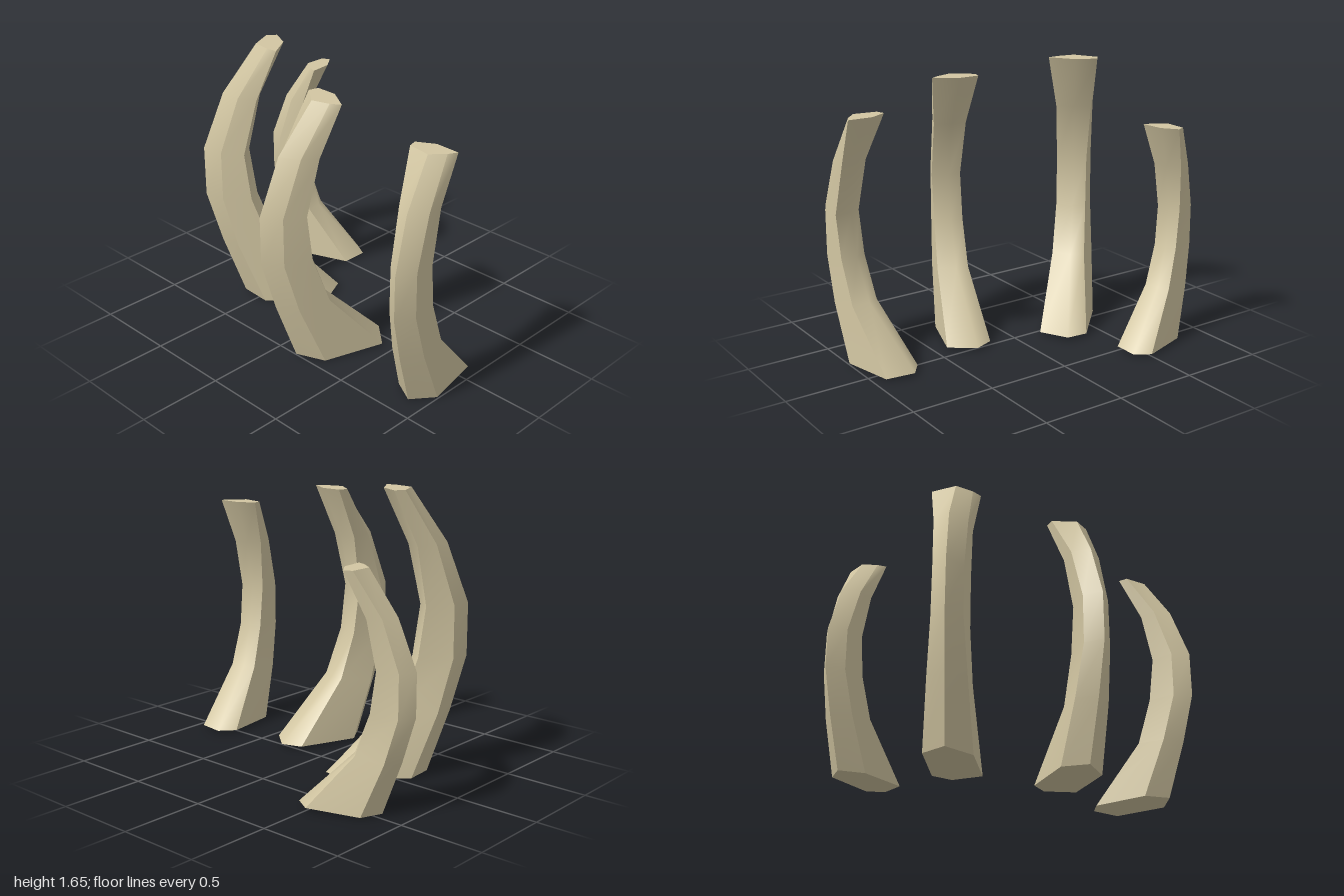
import * as THREE from 'three';

// Six-sided cross-sections, bottom to top, for a rib one unit tall.
// Corners: nose, right flank, right inner, inner ridge, left inner, left flank.
// Each corner is [u, v]: u runs from the outer nose inward, v across.
const SECTIONS = [
  { y: [0.005, 0.007, 0.012, 0.014, 0.010, 0.001], p: [[0.131, 0], [0.20, -0.076], [0.436, -0.064], [0.487, 0], [0.438, 0.106], [0.205, 0.087]] },
  { y: [0.228, 0.231, 0.248, 0.250, 0.248, 0.231], p: [[0.053, 0], [0.11, -0.062], [0.237, -0.040], [0.250, 0.01], [0.229, 0.080], [0.112, 0.070]] },
  { y: [0.42, 0.42, 0.425, 0.425, 0.425, 0.42], p: [[0, 0], [0.058, -0.050], [0.177, -0.038], [0.187, 0.01], [0.166, 0.072], [0.062, 0.056]] },
  { y: [0.604, 0.604, 0.602, 0.602, 0.602, 0.604], p: [[0, 0], [0.058, -0.049], [0.153, -0.038], [0.163, 0.01], [0.145, 0.073], [0.062, 0.055]] },
  { y: [0.815, 0.815, 0.81, 0.81, 0.81, 0.815], p: [[0.077, 0], [0.125, -0.056], [0.189, -0.053], [0.208, 0.008], [0.195, 0.074], [0.130, 0.062]] },
  { y: [1, 1, 1, 1, 1, 1], p: [[0.20, 0.012], [0.237, -0.076], [0.275, -0.077], [0.296, 0], [0.268, 0.097], [0.237, 0.070]] },
];

// Sides that shade smoothly; the edges between them stay sharp
const SIDES = [[0, 1], [1, 2], [2, 3, 4], [4, 5], [5, 0]];

function ribGeometry() {
  const positions = [], index = [];
  const corner = (s, j) => {
    positions.push(s.p[j][0], s.y[j], s.p[j][1]);
  };

  // Long sides, one strip each
  for (const side of SIDES) {
    const start = positions.length / 3, n = side.length;
    for (const s of SECTIONS) side.forEach((j) => corner(s, j));
    for (let r = 0; r < SECTIONS.length - 1; r++) {
      for (let k = 0; k < n - 1; k++) {
        const a = start + r * n + k, b = a + 1, c = a + n, d = c + 1;
        index.push(a, c, b, b, c, d);
      }
    }
  }

  // Flat end caps
  [SECTIONS[0], SECTIONS[SECTIONS.length - 1]].forEach((s, top) => {
    const start = positions.length / 3;
    for (let j = 0; j < 6; j++) corner(s, j);
    for (let j = 1; j < 5; j++) {
      if (top) index.push(start, start + j + 1, start + j);
      else index.push(start, start + j, start + j + 1);
    }
  });

  const geometry = new THREE.BufferGeometry();
  geometry.setAttribute('position', new THREE.Float32BufferAttribute(positions, 3));
  geometry.setIndex(index);
  geometry.computeVertexNormals();
  return geometry;
}

export function createModel() {
  const group = new THREE.Group();
  group.name = 'curvedRibs';
  const bone = new THREE.MeshStandardMaterial({ color: 0xd2c6a2 });
  bone.name = 'bone';
  const geometry = ribGeometry();

  // Nose position, height and inward heading in degrees
  const ribs = [
    ['backRib', -0.38, -0.77, 1.655, 41.5],
    ['rightRib', -0.70, 0.08, 1.578, 15.8],
    ['frontRib', -0.56, 0.94, 1.448, -14],
    ['leftRib', 0.39, -1.0, 1.32, 67.9],
  ];
  for (const [name, x, z, height, heading] of ribs) {
    const rib = new THREE.Mesh(geometry, bone);
    rib.name = name;
    rib.position.set(x, 0, z);
    rib.rotation.y = -THREE.MathUtils.degToRad(heading);
    rib.scale.setScalar(height);
    group.add(rib);
  }
  return group;
}
